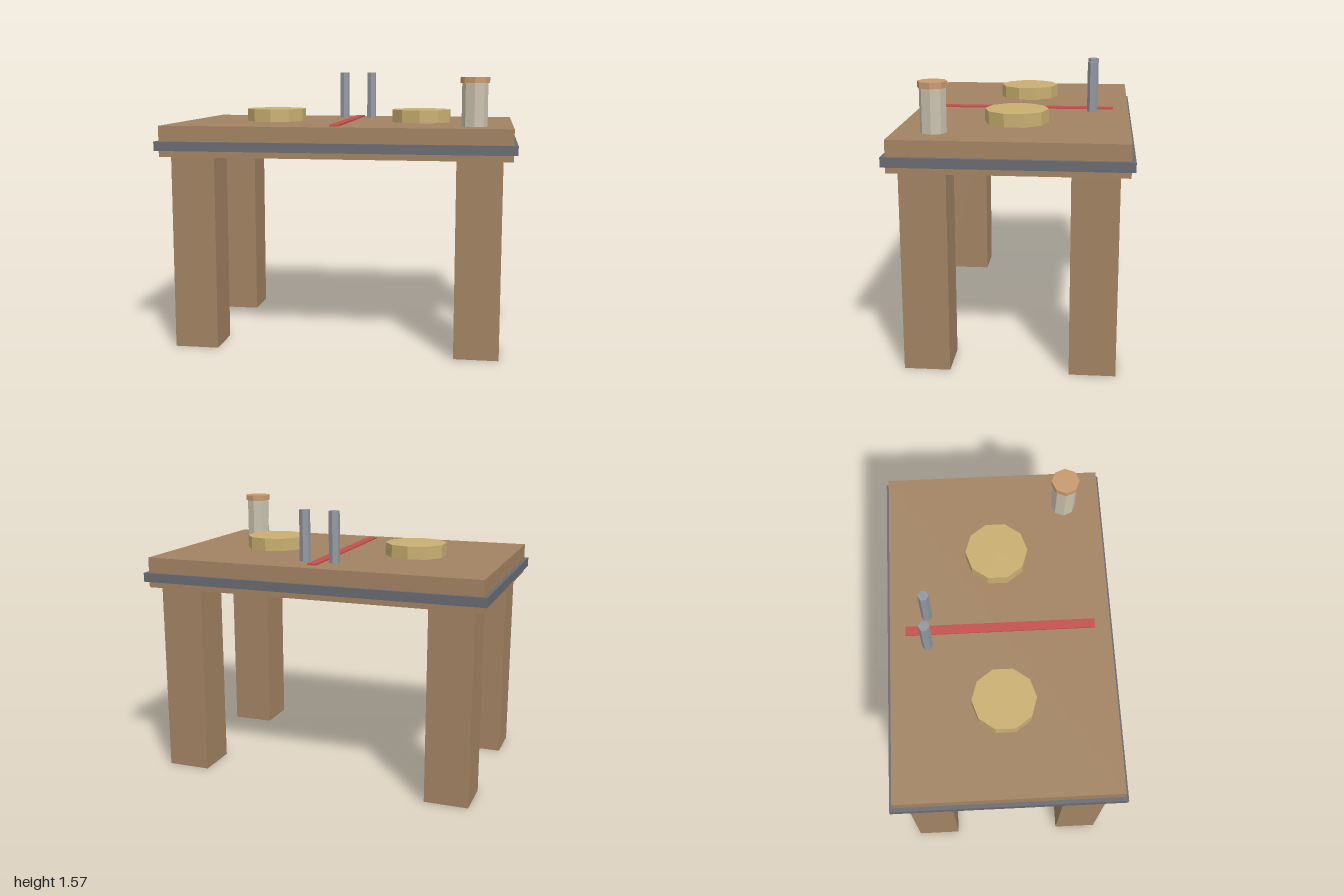
import * as THREE from 'three';

const material = (name, color) => {
  const m = new THREE.MeshStandardMaterial({ color });
  m.name = name;
  m.flatShading = true;
  return m;
};

export function createModel() {
  const model = new THREE.Group();
  model.name = 'table';

  const wood = material('brown wood', 0xa28362);
  const iron = material('dark grey metal', 0x6a6b72);
  const steel = material('light grey metal', 0x9297a0);
  const brass = material('pale gold', 0xc8ae70);
  const red = material('red', 0xc4504e);
  const ivory = material('pale stone', 0xc9c1ae);
  const copper = material('copper', 0xc89a70);

  const place = (geometry, mat, name, x, y, z) => {
    const mesh = new THREE.Mesh(geometry, mat);
    mesh.name = name;
    mesh.position.set(x, y, z);
    model.add(mesh);
  };
  // Both helpers take the bottom and top heights of the part
  const box = (name, mat, w, d, y0, y1, x = 0, z = 0) =>
    place(new THREE.BoxGeometry(w, y1 - y0, d), mat, name, x, (y0 + y1) / 2, z);
  const prism = (name, mat, r, sides, y0, y1, x, z) =>
    place(new THREE.CylinderGeometry(r, r, y1 - y0, sides), mat, name, x, (y0 + y1) / 2, z);

  // Table top with its metal band
  box('tableTop', wood, 1.956, 1.244, 1.107, 1.281);
  box('edgeBand', iron, 2, 1.288, 1.142, 1.194);

  // Four square legs
  for (const x of [-0.8, 0.8])
    for (const z of [-0.446, 0.446]) box('leg', wood, 0.25, 0.25, 0, 1.107, x, z);

  // Centre line, with a round plate and a post on each side
  box('centreStrip', red, 0.053, 1.067, 1.281, 1.29);
  for (const s of [-1, 1]) {
    prism('roundPlate', brass, 0.178, 10, 1.281, 1.355, s * 0.444, 0);
    prism('post', steel, 0.031, 6, 1.281, 1.57, s * 0.088, -0.411);
  }

  // Capped jar on the front left corner
  prism('jarBody', ivory, 0.071, 8, 1.281, 1.518, 0.765, 0.409);
  prism('jarCap', copper, 0.08, 8, 1.518, 1.551, 0.765, 0.409);

  return model;
}
